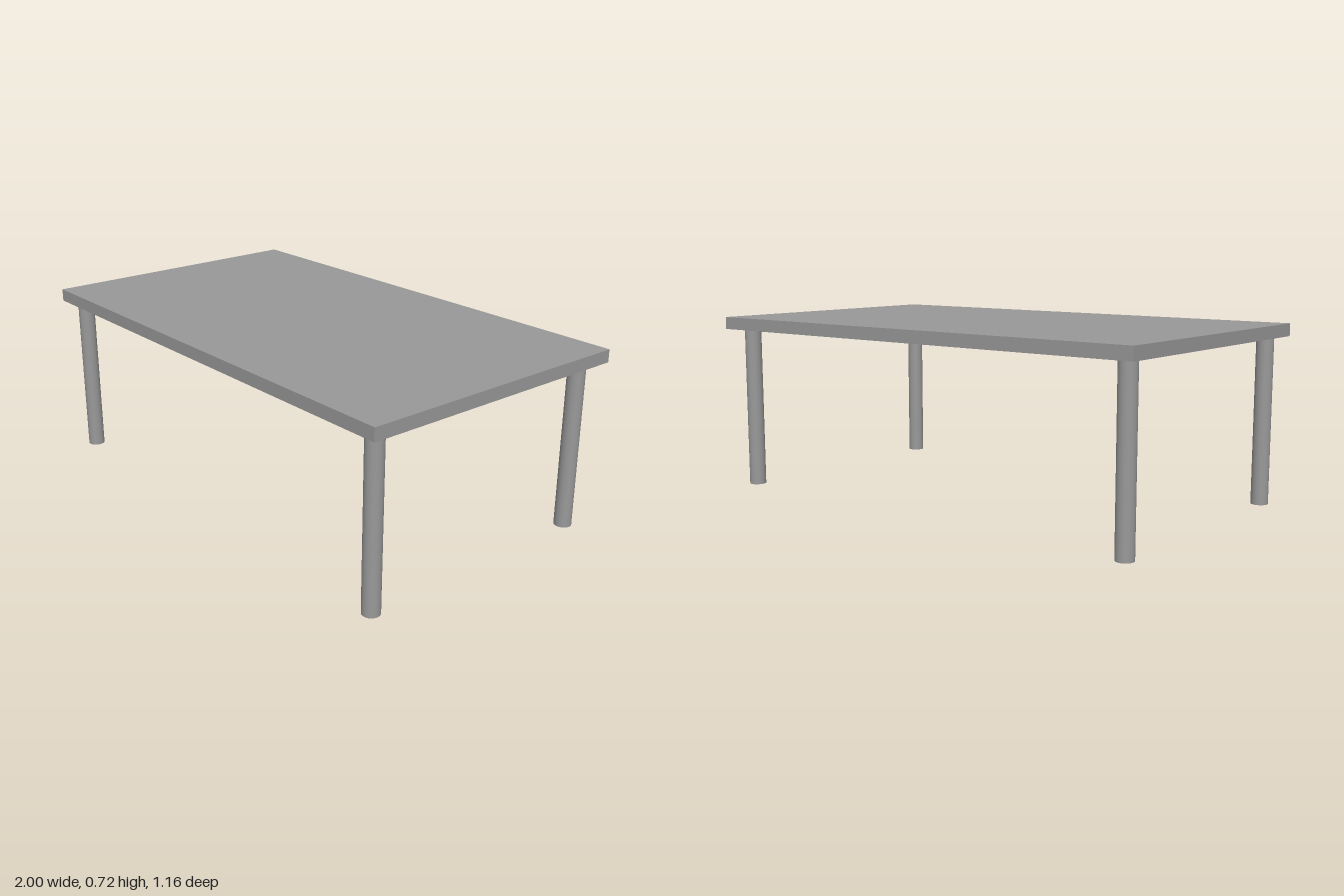
import * as THREE from 'three';

const W = 2, D = 1.156, TOP = 0.716, RIM = 0.666, T = 0.004;
const LEG_R = 0.034;

export function createModel() {
  const model = new THREE.Group();
  model.name = 'table';
  const grey = new THREE.MeshStandardMaterial({ color: 0x999999 });
  const thin = new THREE.MeshStandardMaterial({ color: 0x999999, side: THREE.DoubleSide });

  const add = (name, geometry, material, x, y, z) => {
    const mesh = new THREE.Mesh(geometry, material);
    mesh.name = name;
    mesh.position.set(x, y, z);
    model.add(mesh);
  };
  const box = (name, w, h, d, x, y, z) =>
    add(name, new THREE.BoxGeometry(w, h, d), grey, x, y, z);

  // Table top: a thin sheet with a rim folded down, open underneath
  box('tableTop', W, T, D, 0, TOP - T / 2, 0);
  const rimH = TOP - T - RIM, rimY = RIM + rimH / 2;
  for (const s of [-1, 1]) {
    box(s > 0 ? 'frontRim' : 'backRim', W, rimH, T, 0, rimY, s * (D - T) / 2);
    box(s > 0 ? 'leftRim' : 'rightRim', T, rimH, D - 2 * T, s * (W - T) / 2, rimY, 0);
  }

  // Round tubular legs, each under a small corner mounting plate
  const plate = 0.11;
  for (const [side, x] of [['Right', -0.932], ['Left', 0.923]]) {
    for (const [end, z] of [['front', 0.505], ['back', -0.498]]) {
      const px = Math.sign(x) * (W / 2 - T - plate / 2);
      const pz = Math.sign(z) * (D / 2 - T - plate / 2);
      box(`${end}${side}Plate`, plate, T, plate, px, RIM + T / 2, pz);
      add(`${end}${side}Leg`, new THREE.CylinderGeometry(LEG_R, LEG_R, RIM, 32, 1, true),
        thin, x, RIM / 2, z);
    }
  }
  return model;
}
